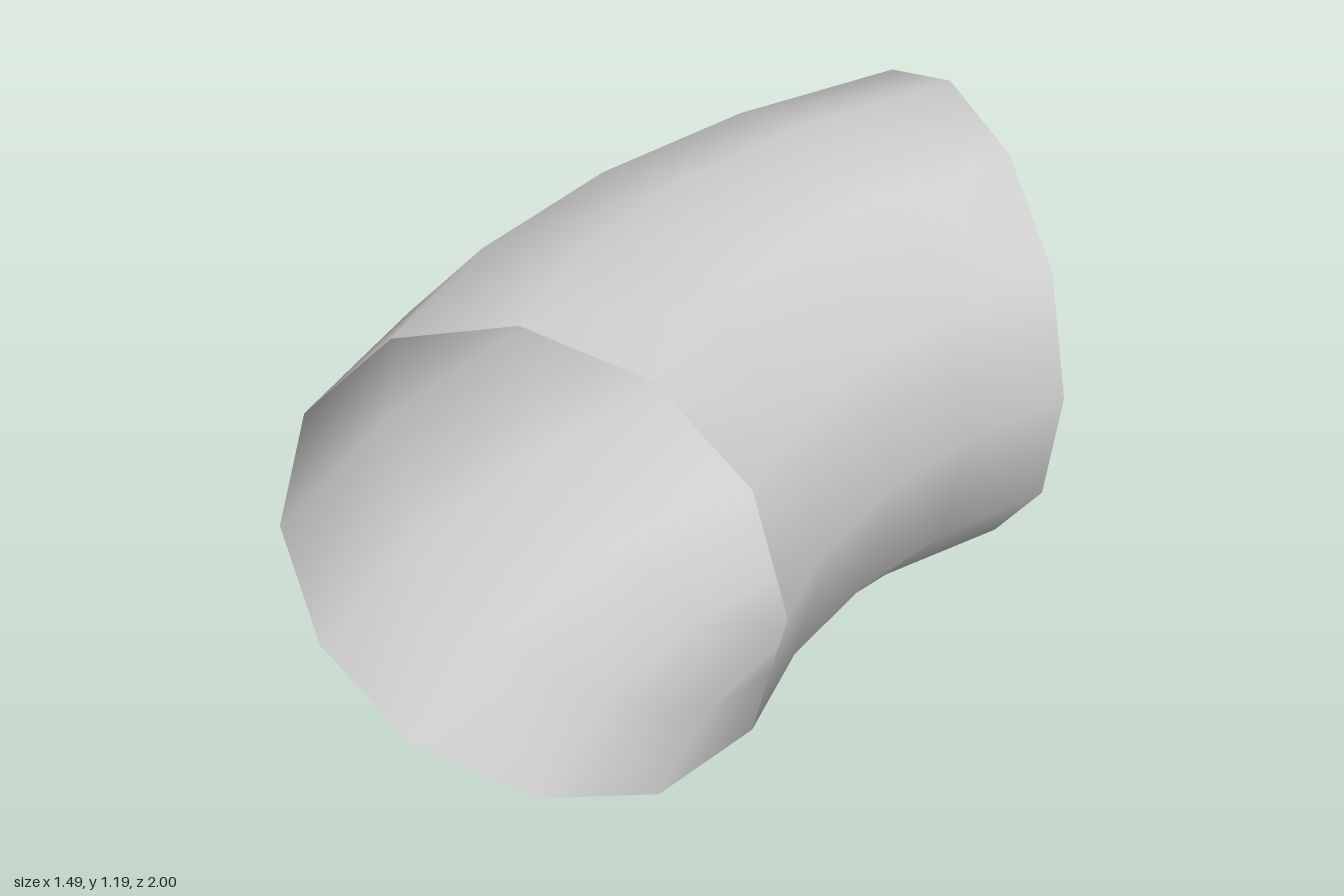
import * as THREE from 'three';

const SIDES = 12;
const RADIUS = 0.594;
// Ring centres (x, z) along the bend; each ring turns a further 11.25 degrees
const CENTRES = [[-0.155, 1], [-0.155, 0.58], [-0.07, 0.157], [0.09, -0.2325], [0.322, -0.58]];

export function createModel() {
  const positions = [];
  const indices = [];

  // Cross-section rings, turning about the vertical axis
  CENTRES.forEach(([cx, cz], i) => {
    const turn = (i / (CENTRES.length - 1)) * Math.PI / 4;
    for (let j = 0; j < SIDES; j++) {
      const a = (j / SIDES) * Math.PI * 2;
      const across = RADIUS * Math.cos(a);
      positions.push(
        cx + across * Math.cos(turn),
        RADIUS + RADIUS * Math.sin(a),
        cz + across * Math.sin(turn)
      );
    }
  });

  // Wall between neighbouring rings, both ends left open
  for (let i = 0; i < CENTRES.length - 1; i++) {
    for (let j = 0; j < SIDES; j++) {
      const a = i * SIDES + j;
      const b = i * SIDES + (j + 1) % SIDES;
      indices.push(a, a + SIDES, b, b, a + SIDES, b + SIDES);
    }
  }

  const geometry = new THREE.BufferGeometry();
  geometry.setAttribute('position', new THREE.Float32BufferAttribute(positions, 3));
  geometry.setIndex(indices);
  geometry.computeVertexNormals();

  const pipe = new THREE.Mesh(
    geometry,
    new THREE.MeshStandardMaterial({ color: 0xcccccc, side: THREE.DoubleSide })
  );
  pipe.name = 'pipeElbow';

  const group = new THREE.Group();
  group.name = 'pipeBend';
  group.add(pipe);
  return group;
}
